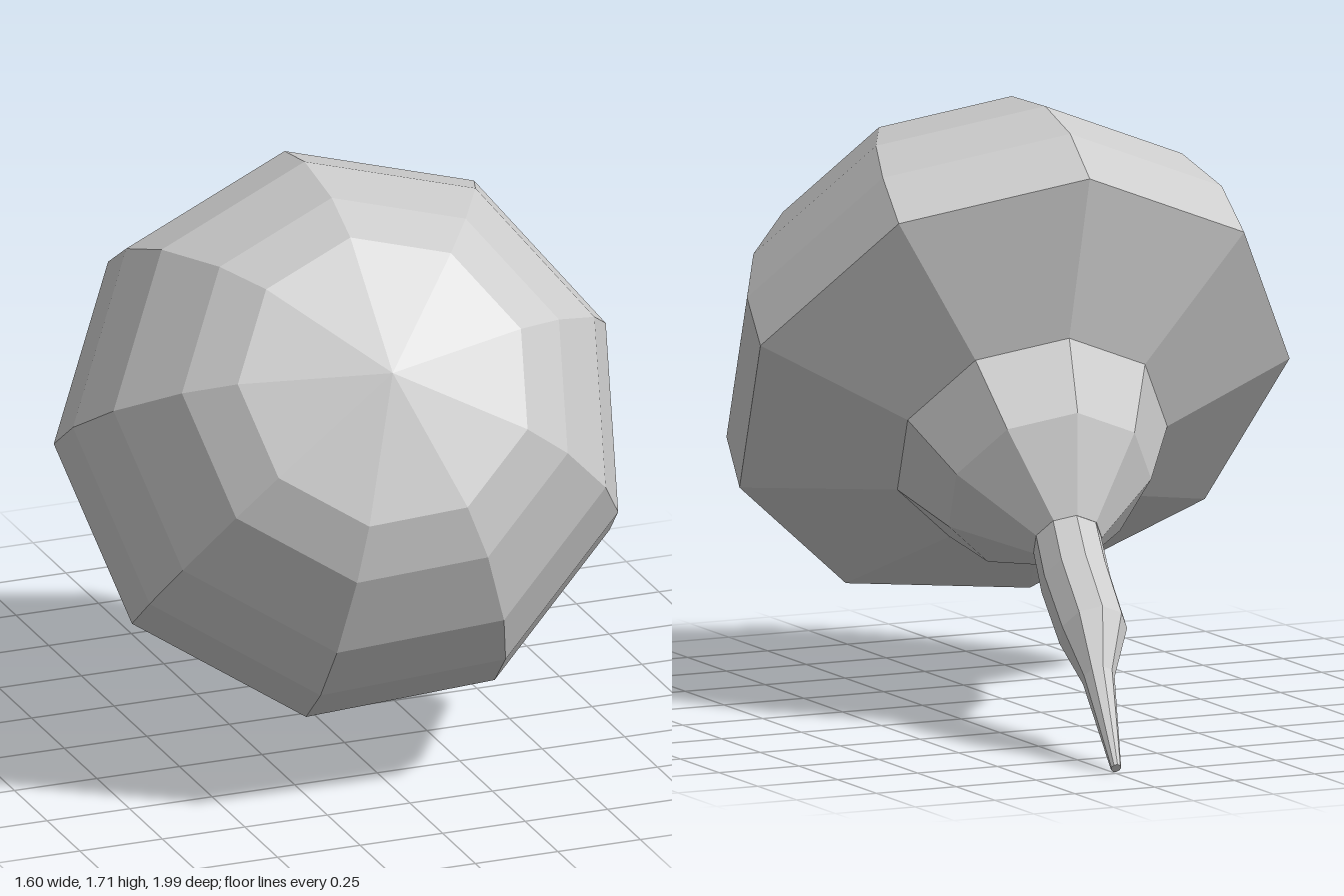
import * as THREE from 'three';

const SIDES = 9;
const material = new THREE.MeshStandardMaterial({ color: 0xcccccc, flatShading: true, side: THREE.DoubleSide });

// Nine-sided turned part; profile is [radius, height] from bottom to top
function turned(name, profile) {
  const points = profile.map(([r, h]) => new THREE.Vector2(r, h));
  const mesh = new THREE.Mesh(new THREE.LatheGeometry(points, SIDES), material);
  mesh.name = name;
  return mesh;
}

export function createModel() {
  const group = new THREE.Group();
  group.name = 'mushroom';

  // Faceted dome and its shallow conical underside
  const cap = turned('cap', [
    [0.4, -0.23], [0.815, -0.015], [0.8, 0.185], [0.722, 0.38],
    [0.566, 0.585], [0.425, 0.685], [0, 0.79],
  ]);

  // Flared neck below the cap
  const neck = turned('neck', [[0, -0.645], [0.1, -0.64], [0.3, -0.43], [0.4, -0.23]]);

  // Thin root: [radius, height, sideways shift x, sideways shift z]
  const rings = [
    [0, -1.5, -0.07, -0.066], [0.015, -1.5, -0.07, -0.066], [0.047, -1.17, -0.043, -0.03],
    [0.1, -1.01, -0.025, 0], [0.102, -0.8, -0.02, 0], [0.1, -0.62, 0, 0],
  ];
  const root = turned('root', rings);
  const pos = root.geometry.attributes.position;
  for (let i = 0; i < pos.count; i++) {
    const [, , dx, dz] = rings[i % rings.length];
    pos.setX(i, pos.getX(i) + dx);
    pos.setZ(i, pos.getZ(i) + dz);
  }
  root.geometry.computeVertexNormals();

  // Tilt everything so the cap faces forward and up
  const axis = new THREE.Vector3(-0.114, 0.563, 0.818).normalize();
  const up = new THREE.Vector3(-0.02, 0.65, -0.45);
  up.addScaledVector(axis, -up.dot(axis)).normalize();
  const side = new THREE.Vector3().crossVectors(axis, up);
  const body = new THREE.Group();
  body.name = 'tiltedBody';
  body.quaternion.setFromRotationMatrix(new THREE.Matrix4().makeBasis(side, axis, up));
  body.position.set(0, 0.91, 0.2);
  body.add(cap, neck, root);
  group.add(body);
  return group;
}
